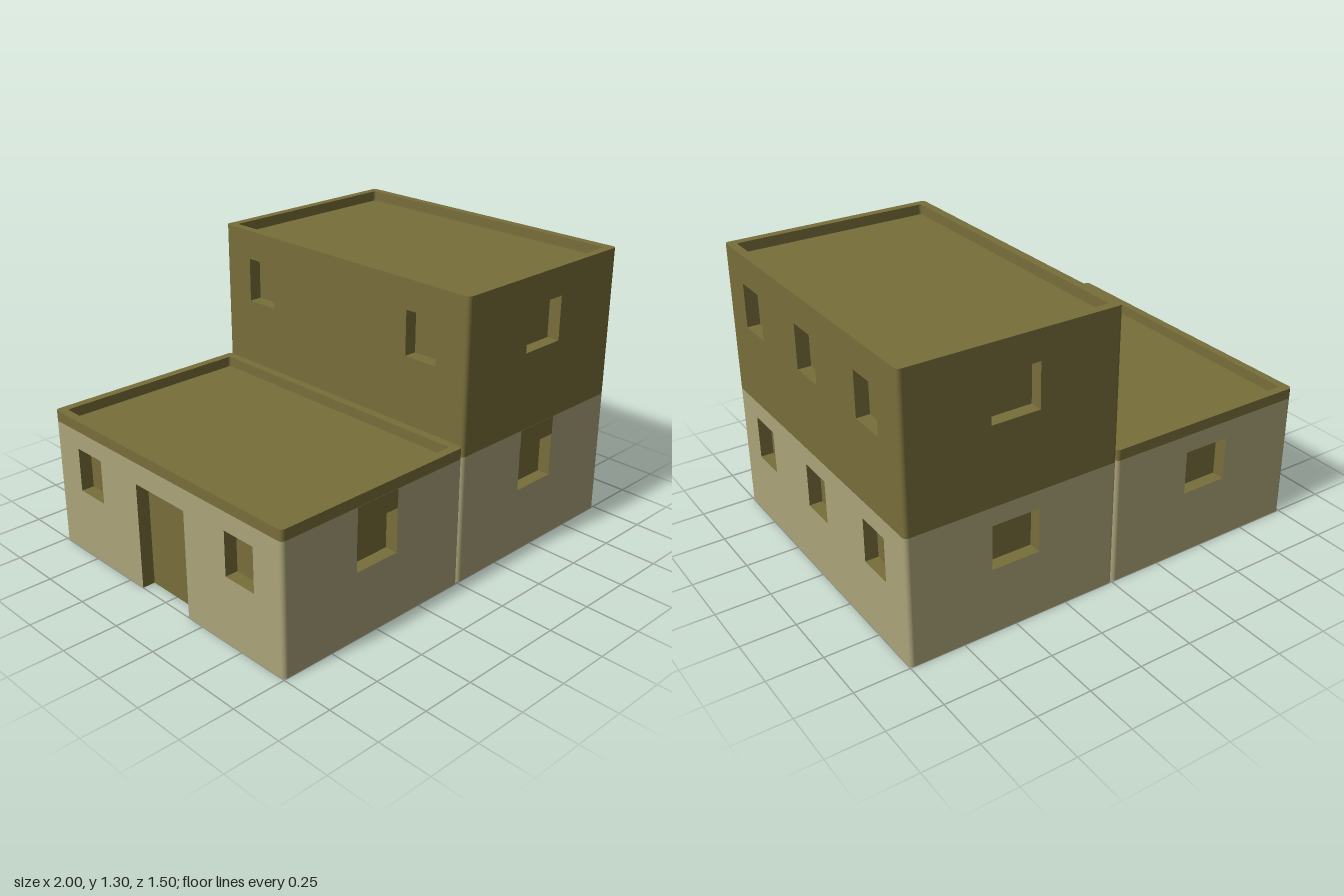
import * as THREE from 'three';

const olive = new THREE.MeshStandardMaterial({ name: 'darkOlive', color: 0x786e3a, side: THREE.DoubleSide });
const sand = new THREE.MeshStandardMaterial({ name: 'paleSand', color: 0xaca47a, side: THREE.DoubleSide });

const W = 1, D = 1.5, R = 0.02, DEPTH = 0.06, BASE = 0.6, RIM = 0.05;

function add(parent, name, geometry, material) {
  const mesh = new THREE.Mesh(geometry, material);
  mesh.name = name;
  parent.add(mesh);
  return mesh;
}

function roundedRect(target, w, d, r) {
  const x = w / 2, y = d / 2;
  target.moveTo(-x + r, -y);
  target.lineTo(x - r, -y).absarc(x - r, -y + r, r, -Math.PI / 2, 0);
  target.lineTo(x, y - r).absarc(x - r, y - r, r, 0, Math.PI / 2);
  target.lineTo(-x + r, y).absarc(-x + r, y - r, r, Math.PI / 2, Math.PI);
  target.lineTo(-x, -y + r).absarc(-x + r, -y + r, r, Math.PI, Math.PI * 1.5);
  return target;
}

// Box open towards +z, and also open below for doors
function recessGeometry(w, h, openBelow) {
  const geo = new THREE.BoxGeometry(w, h, DEPTH);
  const index = Array.from(geo.index.array);
  geo.setIndex(index.filter((_, i) => {
    const face = Math.floor(i / 6);
    return face !== 4 && !(openBelow && face === 3);
  }));
  geo.clearGroups();
  return geo;
}

// Flat wall in local x/y, facing +z, with recessed openings {x, w, y0, y1}
function wall(name, width, height, openings, material) {
  const group = new THREE.Group();
  group.name = name;
  const half = width / 2 - R;
  const shape = new THREE.Shape();
  shape.moveTo(-half, 0);
  for (const o of openings.filter(o => o.y0 === 0)) {
    shape.lineTo(o.x - o.w / 2, 0).lineTo(o.x - o.w / 2, o.y1);
    shape.lineTo(o.x + o.w / 2, o.y1).lineTo(o.x + o.w / 2, 0);
  }
  shape.lineTo(half, 0).lineTo(half, height).lineTo(-half, height).closePath();
  for (const o of openings) {
    const isDoor = o.y0 === 0, a = o.x - o.w / 2, b = o.x + o.w / 2;
    if (!isDoor) {
      const hole = new THREE.Path();
      hole.moveTo(a, o.y0).lineTo(a, o.y1).lineTo(b, o.y1).lineTo(b, o.y0).closePath();
      shape.holes.push(hole);
    }
    add(group, isDoor ? 'doorRecess' : 'windowRecess', recessGeometry(o.w, o.y1 - o.y0, isDoor), o.material || olive)
      .position.set(o.x, (o.y0 + o.y1) / 2, -DEPTH / 2);
  }
  add(group, 'wallFace', new THREE.ShapeGeometry(shape), material);
  return group;
}

// One room: four walls, rounded corners, sunken roof with a parapet
function room(name, cx, y, material, door) {
  const group = new THREE.Group();
  group.name = name;
  group.position.set(cx, y, 0);
  const win = (x, w) => ({ x, w, y0: 0.31, y1: 0.515 });
  const sides = [
    ['frontWall', W, D / 2, 0, [win(0, 0.225)]],
    ['leftWall', D, W / 2, Math.PI / 2, [-0.5, 0, 0.5].map(x => win(x, 0.17))],
    ['backWall', W, D / 2, Math.PI, [win(0, 0.225)]],
    ['rightWall', D, W / 2, -Math.PI / 2, [win(-0.5, 0.17), win(0.5, 0.17), ...(door ? [door] : [])]],
  ];
  for (const [label, width, dist, angle, openings] of sides) {
    const w = wall(label, width, BASE, openings, material);
    w.rotation.y = angle;
    w.position.set(Math.sin(angle) * dist, 0, Math.cos(angle) * dist);
    group.add(w);
  }

  // Rounded vertical corners
  for (let i = 0; i < 4; i++) {
    const sx = i < 2 ? 1 : -1, sz = i === 0 || i === 3 ? 1 : -1;
    add(group, 'wallCorner',
      new THREE.CylinderGeometry(R, R, BASE, 5, 1, true, i * Math.PI / 2, Math.PI / 2), material)
      .position.set(sx * (W / 2 - R), BASE / 2, sz * (D / 2 - R));
  }

  // Parapet ring and roof floor
  const ring = roundedRect(new THREE.Shape(), W, D, R);
  ring.holes.push(roundedRect(new THREE.Path(), W - 0.08, D - 0.08, 0.012));
  const parapet = new THREE.ExtrudeGeometry(ring, { depth: RIM, bevelEnabled: false, curveSegments: 4 });
  add(group, 'parapet', parapet.rotateX(-Math.PI / 2), olive).position.y = BASE;
  const floor = new THREE.PlaneGeometry(W - 0.08, D - 0.08).rotateX(-Math.PI / 2);
  add(group, 'roofFloor', floor, olive).position.y = BASE + 0.002;

  // Dark panel between the front window and the upper band
  if (material === sand) {
    add(group, 'windowHeadPanel', new THREE.PlaneGeometry(0.225, BASE - 0.515), olive)
      .position.set(0, (BASE + 0.515) / 2, D / 2 + 0.002);
  }
  return group;
}

export function createModel() {
  const model = new THREE.Group();
  model.name = 'house';
  const door = material => ({ x: 0, w: 0.32, y0: 0, y1: 0.5, material });
  model.add(
    room('lowRoom', -0.5, 0, sand, door(olive)),
    room('groundRoom', 0.5, 0, sand, door(sand)),
    room('upperRoom', 0.5, BASE + RIM, olive, null),
  );
  return model;
}
